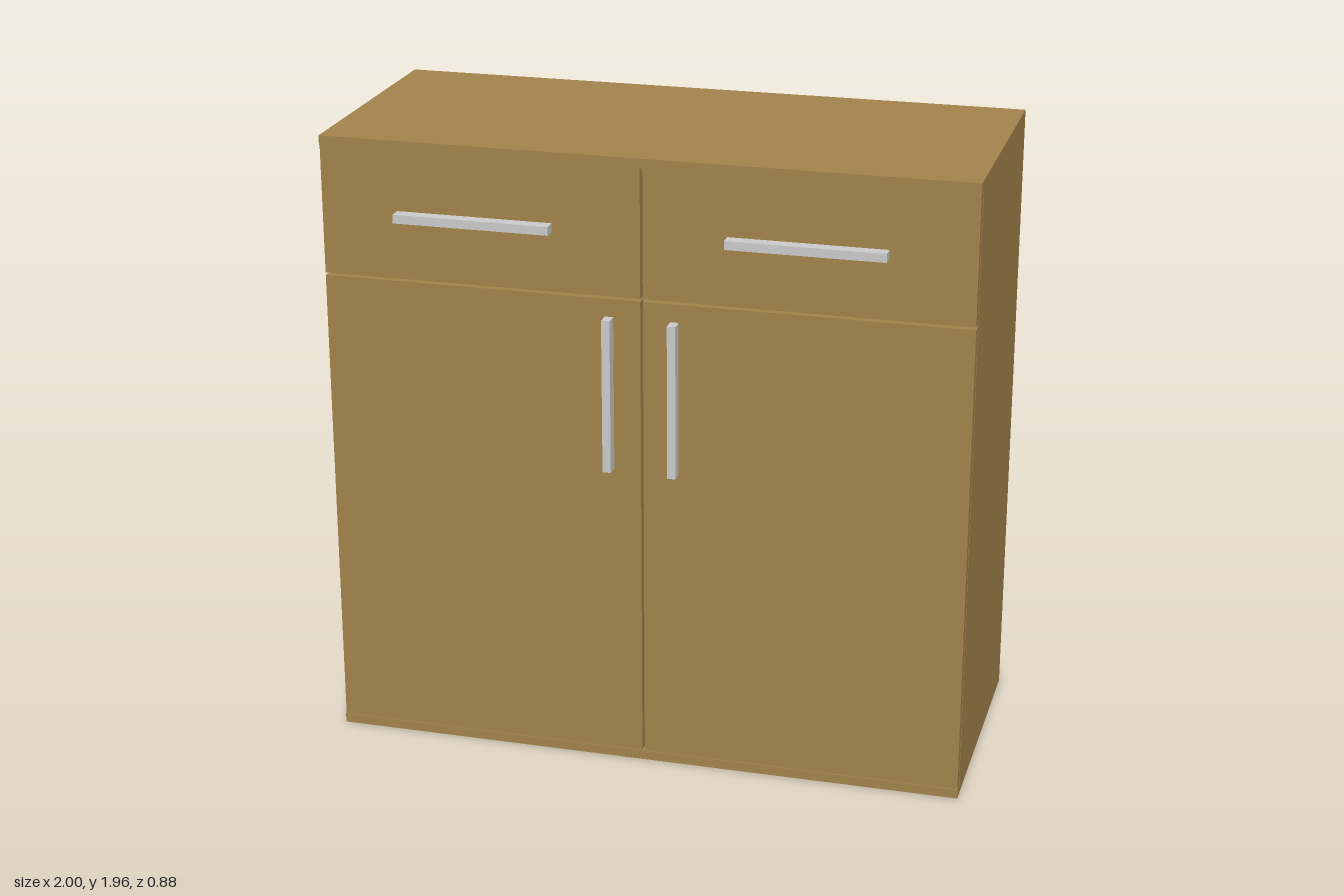
import * as THREE from 'three';

const wood = new THREE.MeshStandardMaterial({ color: 0xa3844c });
const grey = new THREE.MeshStandardMaterial({ color: 0xcccccc });

// Box given by its extents along each axis
function box(name, material, [x0, x1], [y0, y1], [z0, z1]) {
  const mesh = new THREE.Mesh(new THREE.BoxGeometry(x1 - x0, y1 - y0, z1 - z0), material);
  mesh.position.set((x0 + x1) / 2, (y0 + y1) / 2, (z0 + z1) / 2);
  mesh.name = name;
  return mesh;
}

export function createModel() {
  const group = new THREE.Group();
  group.name = 'sideboard';

  const back = -0.44, recess = 0.37, front = 0.4, lip = 0.403;
  const height = 1.96, board = 0.03, split = 1.525, gap = 0.004;

  // Carcass: top and bottom boards reach just past the fronts
  group.add(
    box('carcass', wood, [-1, 1], [board, height - board], [back, recess]),
    box('topBoard', wood, [-1, 1], [height - board, height], [back, lip]),
    box('bottomBoard', wood, [-1, 1], [0, board], [back, lip])
  );

  // Door and drawer on each side, with narrow gaps between the fronts
  for (const [side, s] of [['left', 1], ['right', -1]]) {
    const span = (a, b) => (s > 0 ? [a, b] : [-b, -a]);
    const width = span(gap, 0.999);
    const depth = [recess, front];
    const grip = [front, 0.44];
    group.add(
      box(side + 'Door', wood, width, [board, split - gap], depth),
      box(side + 'DrawerFront', wood, width, [split + gap, height - board], depth),
      box(side + 'DoorHandle', grey, span(0.088, 0.114), [0.98, 1.465], grip),
      box(side + 'DrawerHandle', grey, s > 0 ? [0.26, 0.74] : [-0.76, -0.275], [1.715, 1.742], grip)
    );
  }
  return group;
}
